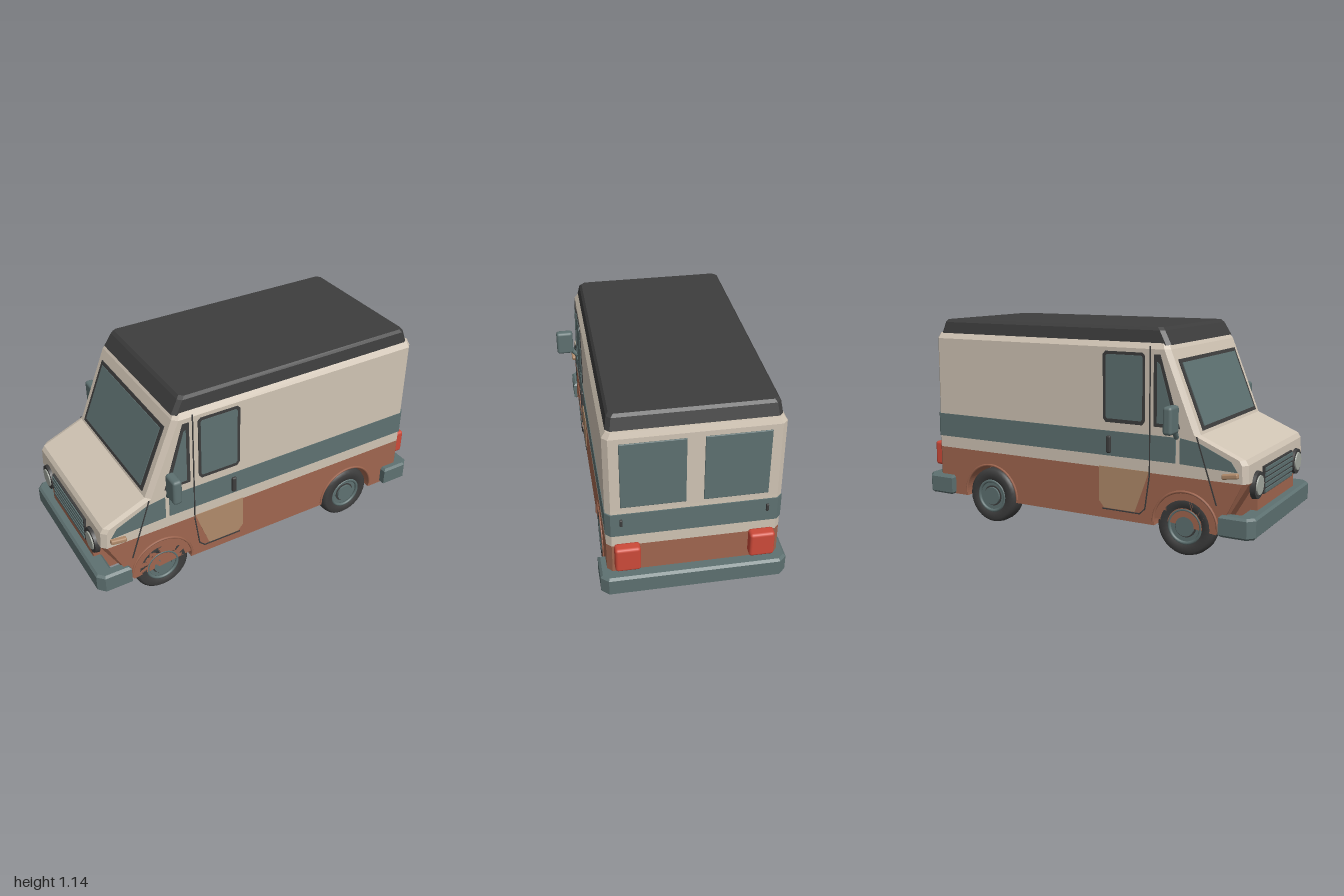
import * as THREE from 'three';
import { RoundedBoxGeometry } from 'three/addons/geometries/RoundedBoxGeometry.js';

const mat = (name, color, extra = {}) => {
  const m = new THREE.MeshStandardMaterial({ color, ...extra });
  m.name = name;
  return m;
};

// Stack of chamfered rectangles [y, xFront, xBack, halfWidth, chamfer], flat faced
function loft(levels) {
  const rings = levels.map(([y, a, b, w, c]) => [
    [a + c, w], [b - c, w], [b, w - c], [b, c - w], [b - c, -w], [a + c, -w], [a, c - w], [a, w - c],
  ].map(([x, z]) => [x, y, z]));
  const pos = [];
  const tri = (...p) => p.forEach((v) => pos.push(...v));
  for (let r = 0; r < rings.length - 1; r++) {
    for (let i = 0; i < 8; i++) {
      const j = (i + 1) % 8, lo = rings[r], hi = rings[r + 1];
      tri(lo[i], lo[j], hi[j]);
      tri(lo[i], hi[j], hi[i]);
    }
  }
  const bottom = rings[0], top = rings[rings.length - 1];
  for (let i = 1; i < 7; i++) {
    tri(top[0], top[i], top[i + 1]);
    tri(bottom[0], bottom[i + 1], bottom[i]);
  }
  const g = new THREE.BufferGeometry();
  g.setAttribute('position', new THREE.Float32BufferAttribute(pos, 3));
  g.computeVertexNormals();
  return g;
}

const shapeOf = (pts) => new THREE.Shape(pts.map(([x, y]) => new THREE.Vector2(x, y)));

export function createModel() {
  const van = new THREE.Group();
  van.name = 'deliveryVan';
  const cream = mat('cream', 0xd0c4b4), teal = mat('teal', 0x5e7171), rust = mat('rust', 0xa0664f);
  const dark = mat('charcoal', 0x3d3d3d), red = mat('red', 0xcd4a39), tan = mat('tan', 0xb08a6a);
  const lens = mat('lens', 0xa3a89f);

  const add = (name, geo, material, x = 0, y = 0, z = 0, parent = van) => {
    const m = new THREE.Mesh(geo, material);
    m.name = name;
    m.position.set(x, y, z);
    parent.add(m);
    return m;
  };
  const box = (w, h, d) => new THREE.BoxGeometry(w, h, d);
  const round = (w, h, d, r) => new RoundedBoxGeometry(w, h, d, 2, r);
  const HALF = 0.43, SIDES = [1, -1], AXLES = [-0.63, 0.565];

  // Thin painted plate on both flanks
  const flank = (name, pts, material, lift = 0.003) => {
    const g = new THREE.ExtrudeGeometry(shapeOf(pts), { depth: 0.004, bevelEnabled: false });
    for (const s of SIDES) add(name, g, material, 0, 0, s * (HALF + lift - 0.002) - 0.002);
  };
  // Narrow seam line on both flanks
  const seam = (name, pts) => {
    for (let i = 0; i < pts.length - 1; i++) {
      const [x0, y0] = pts[i], [x1, y1] = pts[i + 1];
      for (const s of SIDES) {
        const m = add(name, box(Math.hypot(x1 - x0, y1 - y0), 0.006, 0.004), dark, (x0 + x1) / 2, (y0 + y1) / 2, s * (HALF + 0.004));
        m.rotation.z = Math.atan2(y1 - y0, x1 - x0);
      }
    }
  };

  // Upper body with hood and sloped front
  add('upperBody', loft([
    [0.41, -0.955, 0.94, HALF, 0.025], [0.5, -0.95, 0.94, HALF, 0.025], [0.525, -0.935, 0.94, HALF, 0.025],
    [0.625, -0.7, 0.937, HALF, 0.025], [1.035, -0.535, 0.935, HALF, 0.025], [1.065, -0.515, 0.925, 0.41, 0.02],
  ]), cream);
  add('roof', loft([
    [1.055, -0.53, 0.915, 0.412, 0.02], [1.125, -0.49, 0.893, 0.402, 0.02], [1.14, -0.475, 0.882, 0.39, 0.02],
  ]), dark);

  // Lower body in layers, the outer ones cut by wheel arches
  add('lowerBodyCore', box(1.895, 0.27, 0.56), rust, -0.0075, 0.275, 0);
  const sill = new THREE.Shape();
  sill.moveTo(-0.955, 0.14);
  for (const x of AXLES) sill.absarc(x, 0.16, 0.17, Math.PI + 0.118, -0.118, true);
  sill.lineTo(0.94, 0.14);
  sill.lineTo(0.94, 0.41);
  sill.lineTo(-0.955, 0.41);
  const slab = (z0, z1, tapered) => {
    const g = new THREE.ExtrudeGeometry(sill, { depth: z1 - z0, bevelEnabled: false, curveSegments: 20 });
    const p = g.attributes.position;
    for (let i = 0; tapered && i < p.count; i++) {
      if (Math.abs(p.getX(i)) > 0.93 && p.getZ(i) > 0.001) p.setX(i, p.getX(i) - 0.025 * Math.sign(p.getX(i)));
    }
    g.computeVertexNormals();
    for (const s of SIDES) {
      const m = add('archPanel', g, rust, 0, 0, s * z0);
      if (s < 0) {
        const h = g.clone().scale(1, 1, -1);
        const a = h.attributes;
        // Restore the outward winding after mirroring
        for (const at of [a.position, a.normal, a.uv]) {
          const n = at.itemSize;
          for (let i = 0; i < at.count; i += 3) {
            for (let k = 0; k < n; k++) {
              const q = at.array[(i + 1) * n + k];
              at.array[(i + 1) * n + k] = at.array[(i + 2) * n + k];
              at.array[(i + 2) * n + k] = q;
            }
          }
        }
        m.geometry = h;
      }
    }
  };
  slab(0.28, 0.405, false);
  slab(0.405, HALF, true);
  for (const x of AXLES) for (const s of SIDES) {
    add('archRim', new THREE.TorusGeometry(0.176, 0.007, 6, 24, Math.PI), rust, x, 0.16, s * HALF);
  }

  // Belt stripe around the sides and back, with a tapered nose
  add('beltStripe', loft([[0.475, -0.6, 0.944, HALF + 0.003, 0.025], [0.605, -0.6, 0.943, HALF + 0.003, 0.025]]), teal);
  flank('beltStripeNose', [[-0.905, 0.465], [-0.6, 0.475], [-0.6, 0.605], [-0.7, 0.59], [-0.87, 0.515]], teal);
  flank('doorPatch', [[-0.35, 0.195], [-0.17, 0.195], [-0.14, 0.23], [-0.14, 0.415], [-0.43, 0.415], [-0.4, 0.33]], tan);
  seam('doorSeam', [[-0.435, 1.05], [-0.435, 0.4], [-0.41, 0.22], [-0.38, 0.19], [-0.16, 0.19]]);
  seam('fenderSeam', [[-0.69, 0.62], [-0.73, 0.5], [-0.8, 0.29]]);

  // Side windows
  flank('doorWindowFrame', [[-0.39, 0.65], [-0.18, 0.65], [-0.165, 0.67], [-0.165, 1.0], [-0.18, 1.015], [-0.39, 1.015], [-0.405, 1.0], [-0.405, 0.67]], dark, 0.004);
  flank('doorWindow', [[-0.385, 0.67], [-0.19, 0.67], [-0.182, 0.68], [-0.182, 0.99], [-0.19, 1.0], [-0.385, 1.0], [-0.392, 0.99], [-0.392, 0.68]], teal, 0.007);
  flank('quarterWindowFrame', [[-0.6, 0.65], [-0.455, 0.65], [-0.455, 1.01], [-0.49, 1.01]], dark, 0.004);
  flank('quarterWindow', [[-0.575, 0.668], [-0.475, 0.668], [-0.475, 0.975], [-0.488, 0.965]], teal, 0.007);

  // Windshield on the sloped front
  const screen = new THREE.Group();
  screen.name = 'windshield';
  screen.position.set(-0.625, 0.812, 0);
  screen.rotation.z = -Math.atan2(0.165, 0.41);
  van.add(screen);
  add('windshieldFrame', box(0.008, 0.37, 0.74), dark, 0, 0, 0, screen);
  add('windshieldGlass', box(0.008, 0.33, 0.69), teal, -0.004, 0, 0, screen);

  // Grille
  add('grille', box(0.02, 0.14, 0.44), dark, -0.955, 0.39, 0);
  for (let i = 0; i < 5; i++) add('grilleSlat', box(0.014, 0.017, 0.42), teal, -0.964, 0.335 + i * 0.0275, 0);

  // Bumpers wrapping the ends
  const bumper = (name, w, len) => {
    const s = shapeOf([
      [0.83, -w], [0.96, -w], [0.988, 0.03 - w], [0.988, w - 0.03], [0.96, w],
      [0.83, w], [0.83, 0.4], [0.92, 0.4], [0.92, -0.4], [0.83, -0.4],
    ]);
    const g = new THREE.ExtrudeGeometry(s, { depth: 0.085, bevelThickness: 0.012, bevelSize: 0.012, bevelSegments: 1 });
    g.rotateX(-Math.PI / 2);
    const m = add(name, g, teal, 0, 0.152, 0);
    m.rotation.y = len;
  };
  bumper('frontBumper', 0.442, Math.PI);
  bumper('rearBumper', 0.456, 0);

  // Wheel profile: radius, then distance along the axle
  const tyre = new THREE.LatheGeometry([
    [0.09, -0.055], [0.135, -0.055], [0.15, -0.042], [0.155, -0.02], [0.155, 0.02], [0.15, 0.042], [0.135, 0.055], [0.095, 0.055], [0.088, 0.035],
  ].map(([r, y]) => new THREE.Vector2(r, y)), 32).rotateX(Math.PI / 2);
  const disc = (r, d, n = 28) => new THREE.CylinderGeometry(r, r, d, n).rotateX(Math.PI / 2);

  for (const s of SIDES) {
    for (const x of AXLES) {
      const wheel = new THREE.Group();
      wheel.name = 'wheel';
      wheel.position.set(x, 0.158, s * 0.375);
      if (s < 0) wheel.rotation.y = Math.PI;
      van.add(wheel);
      add('tyre', tyre, dark, 0, 0, 0, wheel);
      add('rim', disc(0.09, 0.09), teal, 0, 0, -0.004, wheel);
      add('rimLip', new THREE.TorusGeometry(0.086, 0.009, 8, 32), teal, 0, 0, 0.048, wheel);
      add('rimGroove', disc(0.058, 0.006), dark, 0, 0, 0.041, wheel);
      add('hubCap', disc(0.05, 0.02), teal, 0, 0, 0.045, wheel);
    }

    // Headlights
    const rim = add('headlightRim', new THREE.CylinderGeometry(0.068, 0.072, 0.025, 24), dark, -0.957, 0.385, s * 0.3);
    rim.rotation.z = Math.PI / 2;
    const glass = add('headlight', new THREE.CylinderGeometry(0.048, 0.055, 0.02, 24), lens, -0.966, 0.385, s * 0.3);
    glass.rotation.z = Math.PI / 2;

    // Markers, handles and tail lights
    const marker = add('sideMarker', round(0.085, 0.026, 0.03, 0.008), tan, -0.87, 0.445, s * 0.437);
    marker.rotation.z = -0.15;
    add('doorHandle', round(0.026, 0.09, 0.022, 0.008), dark, -0.2, 0.535, s * 0.436);
    add('rearHandle', round(0.016, 0.04, 0.014, 0.005), dark, 0.946, 0.557, s * 0.357);
    add('tailLight', round(0.06, 0.138, 0.126, 0.015), red, 0.965, 0.357, s * 0.332);

    // Rear window
    add('rearWindow', round(0.008, 0.365, 0.315, 0.0035), teal, 0.938, 0.826, s * 0.2);

    // Mirror on a short arm
    add('mirror', round(0.05, 0.14, 0.097, 0.016), teal, -0.583, 0.704, s * 0.502);
    const arm = new THREE.LineCurve3(new THREE.Vector3(-0.58, 0.605, s * 0.425), new THREE.Vector3(-0.583, 0.66, s * 0.475));
    add('mirrorArm', new THREE.TubeGeometry(arm, 1, 0.014, 8), teal);
  }
  return van;
}
